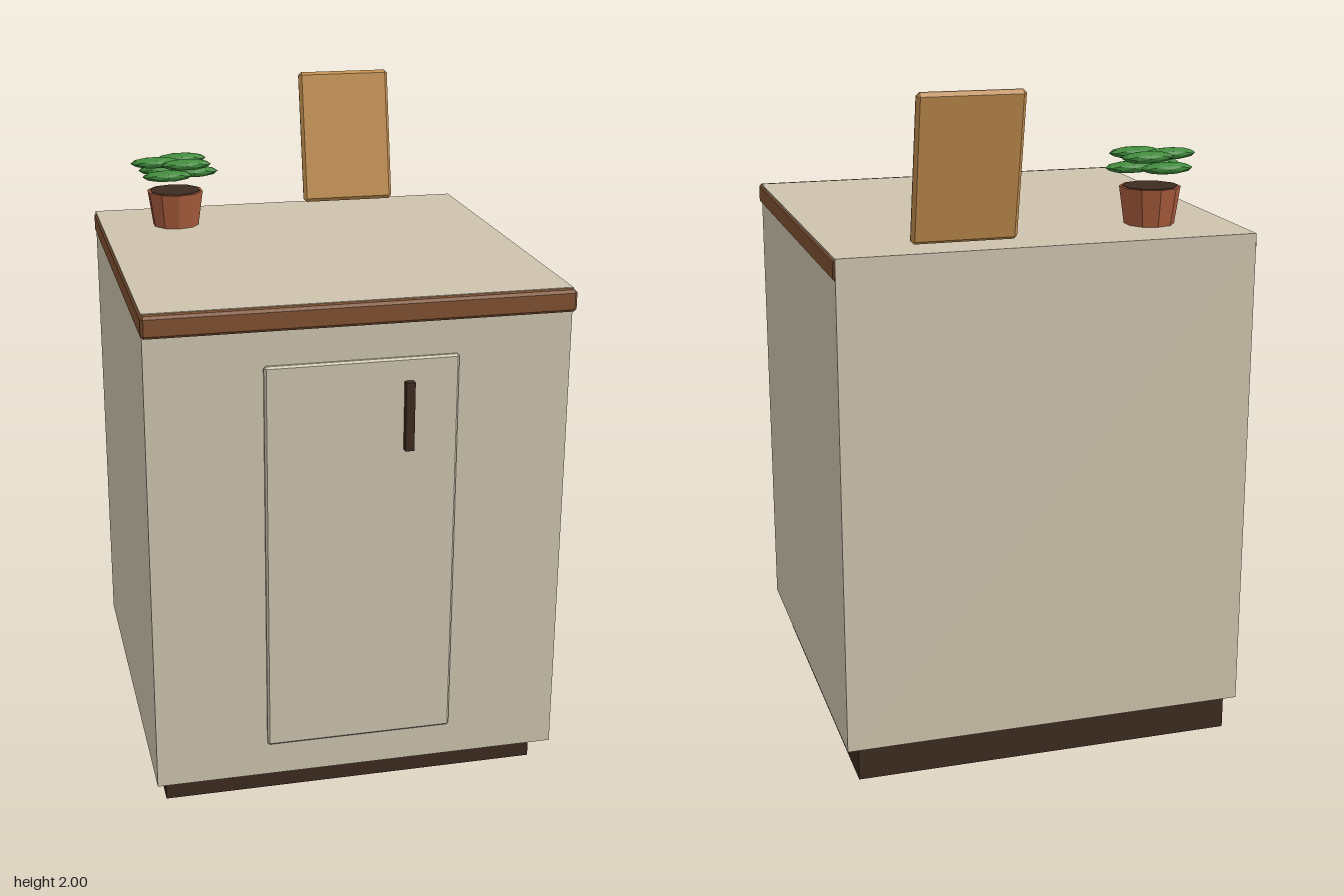
import * as THREE from 'three';
import { ConvexGeometry } from 'three/addons/geometries/ConvexGeometry.js';

const mat = (name, color) => {
  const m = new THREE.MeshStandardMaterial({ color, flatShading: true });
  m.name = name;
  return m;
};

// Box with every edge and corner cut off by c
function chamferBox(w, h, d, c) {
  const half = [w / 2, h / 2, d / 2];
  const points = [];
  for (const sx of [-1, 1]) for (const sy of [-1, 1]) for (const sz of [-1, 1]) {
    for (let axis = 0; axis < 3; axis++) {
      const p = half.map((v, i) => (i === axis ? v : v - c));
      points.push(new THREE.Vector3(p[0] * sx, p[1] * sy, p[2] * sz));
    }
  }
  return new ConvexGeometry(points);
}

export function createModel() {
  const cream = mat('cream paint', 0xcdc3ad);
  const dark = mat('dark brown', 0x3d2b20);
  const wood = mat('brown wood', 0x7f5130);
  const lightWood = mat('light wood', 0xbf8c4e);
  const clay = mat('terracotta', 0xa85c3c);
  const green = mat('leaf green', 0x3f8a3a);

  const model = new THREE.Group();
  model.name = 'kitchenCabinet';
  const add = (name, geometry, material, x, y, z, parent = model) => {
    const mesh = new THREE.Mesh(geometry, material);
    mesh.name = name;
    mesh.position.set(x, y, z);
    parent.add(mesh);
    return mesh;
  };

  // Cabinet: the carcass rises just through the worktop
  add('plinth', new THREE.BoxGeometry(1.154, 0.104, 1.12), dark, 0, 0.052, -0.039);
  add('carcass', new THREE.BoxGeometry(1.224, 1.461, 1.226), cream, 0, 0.8335, -0.002);
  add('worktop', chamferBox(1.234, 0.064, 1.251, 0.008), wood, 0, 1.53, 0.0115);

  // Door and handle
  add('door', chamferBox(0.56, 1.187, 0.026, 0.006), cream, 0, 0.8, 0.611);
  add('handle', new THREE.BoxGeometry(0.026, 0.204, 0.026), dark, 0.133, 1.224, 0.633);

  // Cutting board leaning backwards
  const board = add('cuttingBoard', chamferBox(0.305, 0.43, 0.024, 0.01), lightWood, 0.236, 1.787, -0.587);
  board.rotation.x = -0.2;

  // Potted plant
  const plant = new THREE.Group();
  plant.name = 'pottedPlant';
  plant.position.set(-0.375, 1.564, -0.381);
  model.add(plant);
  add('pot', new THREE.CylinderGeometry(0.09, 0.074, 0.11, 10), clay, 0, 0.055, 0, plant);
  add('soil', new THREE.CylinderGeometry(0.081, 0.081, 0.006, 10), dark, 0, 0.109, 0, plant);

  // Six leaves in a ring, alternating between two heights
  const leafShape = new THREE.IcosahedronGeometry(1, 1);
  leafShape.scale(0.08, 0.018, 0.031);
  for (let i = 0; i < 6; i++) {
    const a = (i * Math.PI) / 3;
    add('leaf', leafShape, green, Math.cos(a) * 0.06, i % 2 ? 0.202 : 0.168, Math.sin(a) * 0.06, plant);
  }
  return model;
}
